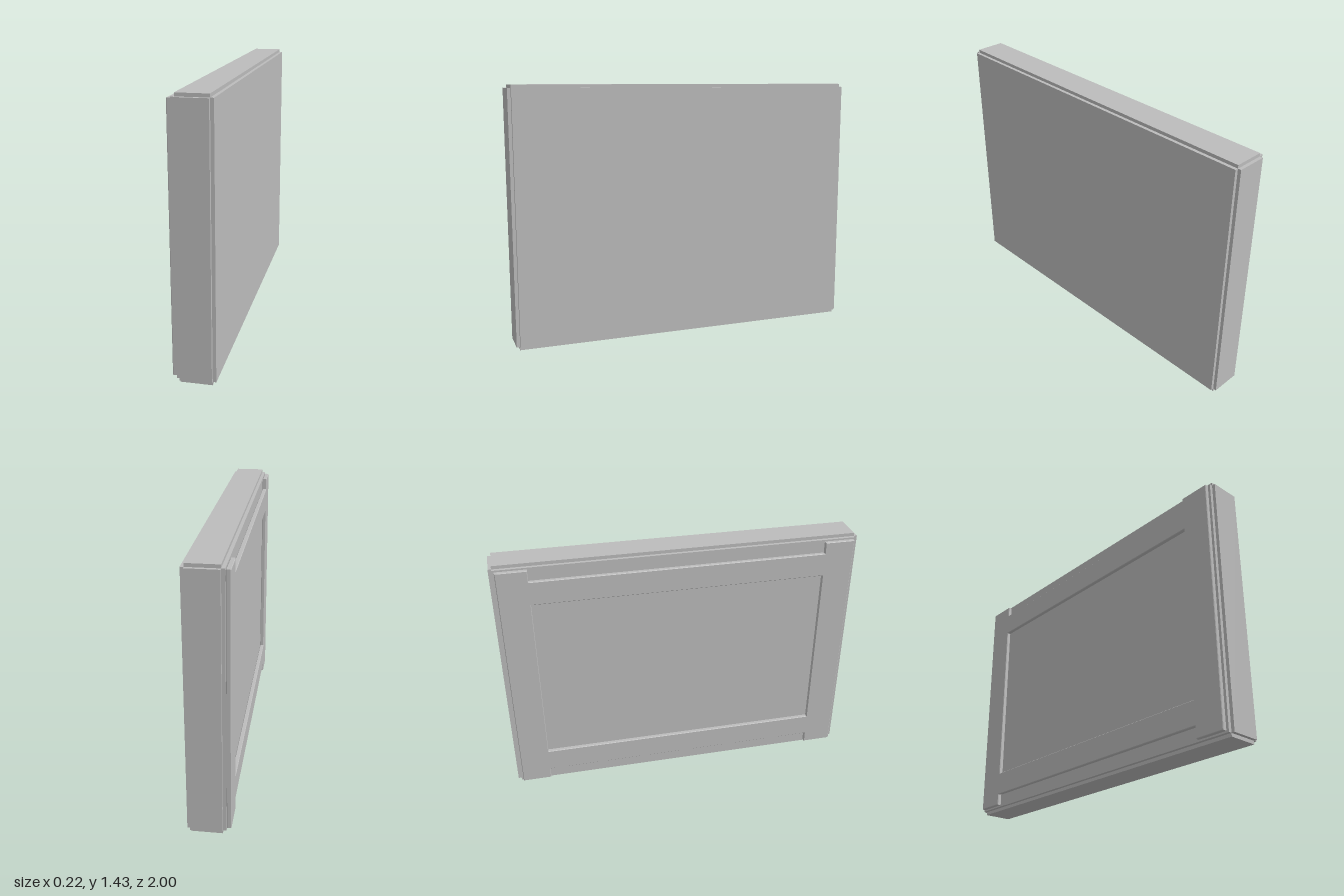
import * as THREE from 'three';

const STEP = 0.018;                    // height of the step around every edge
const X0 = -0.088, X1 = 0.112;         // body thickness
const HEIGHT = 1.432, HALF = 1;

export function createModel() {
  const model = new THREE.Group();
  model.name = 'steppedPanel';
  const grey = new THREE.MeshStandardMaterial({ color: 0xbcbcbc });
  grey.name = 'plain grey';

  // Body: three crossed slabs, each reaching full size along one axis only
  const body = new THREE.Group();
  body.name = 'body';
  const size = [X1 - X0, HEIGHT, HALF * 2];
  ['faceSlab', 'topAndBottomSlab', 'endSlab'].forEach((name, axis) => {
    const s = size.map((v, i) => (i === axis ? v : v - STEP * 2));
    const slab = new THREE.Mesh(new THREE.BoxGeometry(...s), grey);
    slab.name = name;
    slab.position.set((X0 + X1) / 2, HEIGHT / 2, 0);
    body.add(slab);
  });
  model.add(body);

  // Raised frame: notched at top and bottom, with a window in the middle
  const w = 0.97, n = 0.805;           // outer and notch half widths
  const h = 0.69, s = 0.625, o = 0.492; // outer, notch and window half heights
  const outline = new THREE.Shape([
    [-w, -h], [-n, -h], [-n, -s], [n, -s], [n, -h], [w, -h],
    [w, h], [n, h], [n, s], [-n, s], [-n, h], [-w, h],
  ].map(([x, y]) => new THREE.Vector2(x, y)));
  outline.holes.push(new THREE.Path([
    [-n, -o], [-n, o], [n, o], [n, -o],
  ].map(([x, y]) => new THREE.Vector2(x, y))));

  const bevel = 0.003;
  const frame = new THREE.Mesh(new THREE.ExtrudeGeometry(outline, {
    depth: 0.018, bevelThickness: bevel, bevelSize: bevel,
    bevelOffset: -bevel, bevelSegments: 1,
  }), grey);
  frame.name = 'raisedFrame';
  frame.rotation.y = -Math.PI / 2;     // extrude towards -x
  frame.position.set(X0 - bevel, HEIGHT / 2, 0);
  model.add(frame);

  return model;
}
